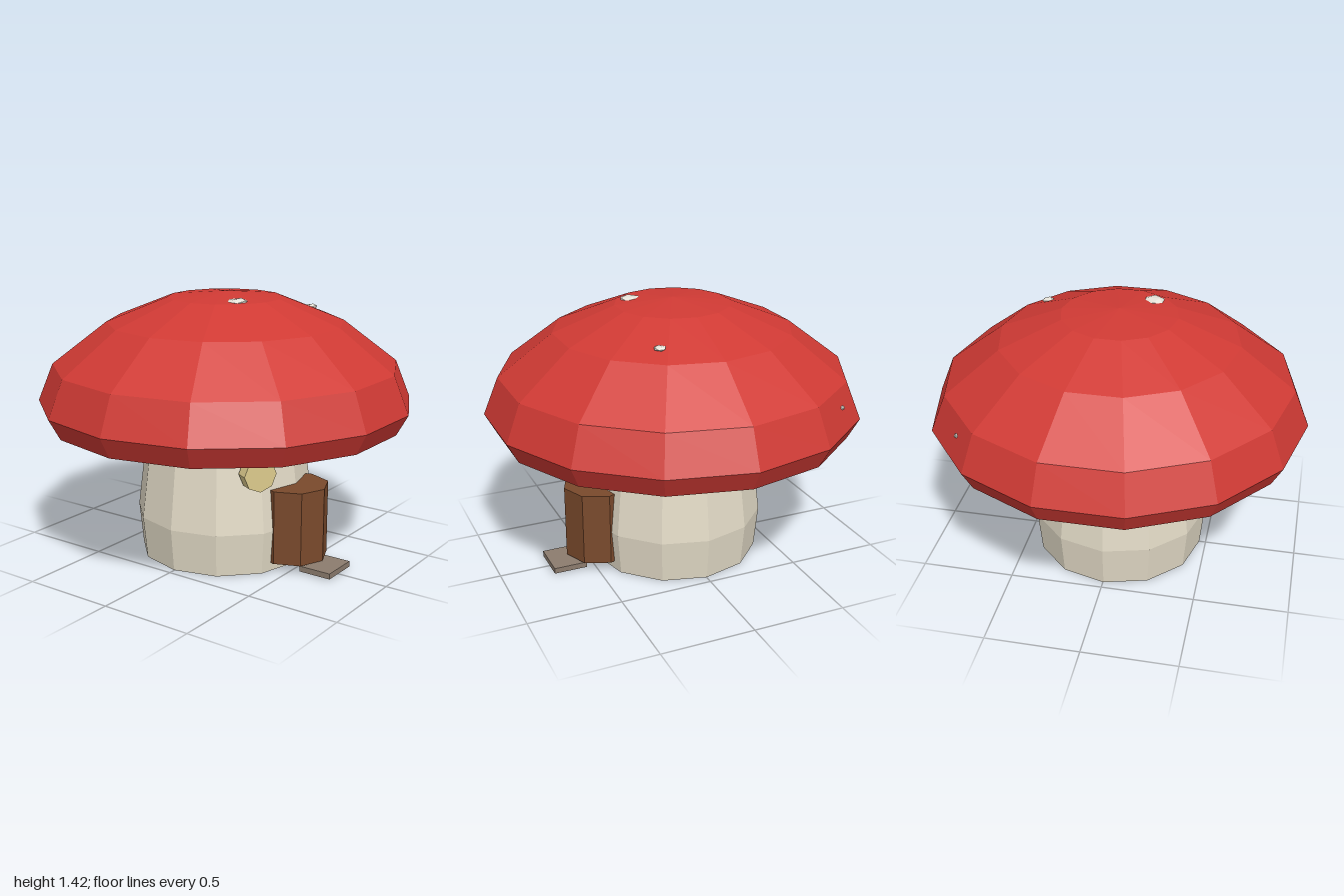
import * as THREE from 'three';

const mat = (color) => new THREE.MeshStandardMaterial({ color, flatShading: true });

export function createModel() {
  const model = new THREE.Group();
  const red = mat(0xd03a34), cream = mat(0xe2dac6), brown = mat(0x7a4a2c);
  const stone = mat(0x8c7c6e), yellow = mat(0xdccb8c), white = mat(0xe6e2d8);

  const add = (name, geometry, material, x = 0, y = 0, z = 0) => {
    const mesh = new THREE.Mesh(geometry, material);
    mesh.name = name;
    mesh.position.set(x, y, z);
    model.add(mesh);
    return mesh;
  };
  // Faceted solid of revolution, profile given from bottom to top
  const lathe = (points, sides, start) =>
    new THREE.LatheGeometry(points.map(([r, y]) => new THREE.Vector2(r, y)), sides, start);

  // Fourteen-sided cap with a flat underside, corners on the x axis
  add('cap', lathe([
    [0, 0.735], [0.94, 0.738], [1, 0.848], [0.92, 1.045],
    [0.63, 1.267], [0.305, 1.397], [0, 1.427],
  ], 14, Math.PI / 2), red);

  // Twelve-sided stem, widest near the ground
  add('stem', lathe([
    [0, 0.005], [0.46, 0.007], [0.482, 0.235], [0.425, 0.695], [0.435, 0.76], [0, 0.76],
  ], 12, 0), cream, -0.004);

  // Octagonal door post set into the stem
  add('door', new THREE.CylinderGeometry(0.187, 0.187, 0.395, 8), brown, 0, 0.2525, 0.44);

  // Doorstep slab
  add('doorstep', new THREE.BoxGeometry(0.21, 0.03, 0.18), stone, 0, 0.027, 0.64);

  // Octagonal window facing outward
  const pane = new THREE.CylinderGeometry(0.09, 0.09, 0.07, 8).rotateX(Math.PI / 2);
  add('window', pane, yellow, -0.266, 0.56, 0.39).rotation.y = -Math.PI / 6;

  // Small flattened spots peeking out of the cap
  const spots = [
    [-0.145, 1.4, 0.18, 0.06, 0.018],
    [0.445, 1.313, 0.26, 0.034, 0.013],
    [0.69, 0.96, -0.62, 0.018, 0.012],
  ];
  spots.forEach(([x, y, z, r, h], i) => {
    const spot = add(`spot${i + 1}`, new THREE.IcosahedronGeometry(1, 0), white, x, y, z);
    spot.scale.set(r, h, r);
  });

  return model;
}
